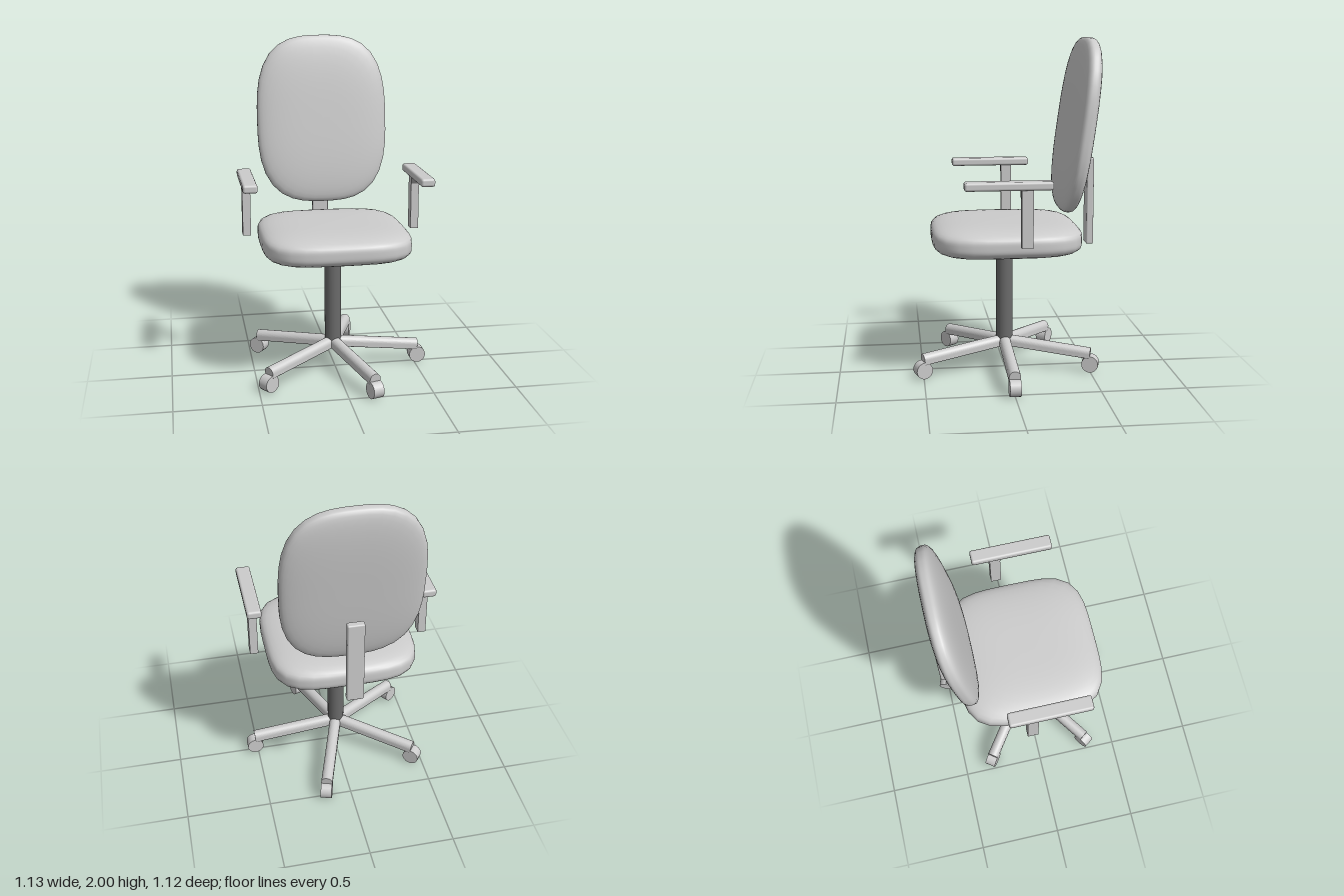
import * as THREE from 'three';
import { mergeVertices } from 'three/addons/utils/BufferGeometryUtils.js';
import { RoundedBoxGeometry } from 'three/addons/geometries/RoundedBoxGeometry.js';

const lightGrey = new THREE.MeshStandardMaterial({ color: 0xcccccc });
lightGrey.name = 'light grey';
const darkGrey = new THREE.MeshStandardMaterial({ color: 0x6a6a6a });
darkGrey.name = 'dark grey';

function add(parent, name, geometry, material, x = 0, y = 0, z = 0) {
  const mesh = new THREE.Mesh(geometry, material);
  mesh.name = name;
  mesh.position.set(x, y, z);
  parent.add(mesh);
  return mesh;
}

// Rounded cushion lying flat: n squares off the outline, m squares off the edge
function cushion(halfX, halfY, halfZ, n, m) {
  let geo = new THREE.SphereGeometry(1, 40, 30);
  const p = geo.attributes.position;
  for (let i = 0; i < p.count; i++) {
    const x = p.getX(i), y = p.getY(i), z = p.getZ(i);
    const rho = (Math.abs(x) ** n + Math.abs(z) ** n) ** (1 / n);
    const s = (rho ** m + Math.abs(y) ** m) ** (-1 / m);
    p.setXYZ(i, x * s * halfX, y * s * halfY, z * s * halfZ);
  }
  geo.deleteAttribute('uv');
  geo.deleteAttribute('normal');
  geo = mergeVertices(geo, 1e-5);
  geo.computeVertexNormals();
  return geo;
}

export function createModel() {
  const model = new THREE.Group();
  model.name = 'officeChair';
  const chair = new THREE.Group();
  chair.name = 'chair';
  chair.position.x = -0.013;
  model.add(chair);

  // Seat and reclined backrest
  add(chair, 'seat', cushion(0.44, 0.094, 0.44, 4, 3.6), lightGrey, 0, 0.837, 0);
  const back = cushion(0.405, 0.067, 0.518, 2.9, 3.3).rotateX(Math.PI / 2);
  add(chair, 'backrest', back, lightGrey, 0, 1.485, -0.426).rotation.x = -0.138;
  add(chair, 'backBar', new RoundedBoxGeometry(0.1, 0.525, 0.043, 2, 0.009), lightGrey, 0, 1.028, -0.513);

  // Armrests, each post with a dark band at the top of its front
  for (const side of [-1, 1]) {
    const arm = new THREE.Group();
    arm.name = side > 0 ? 'leftArmrest' : 'rightArmrest';
    arm.position.x = side * 0.512;
    chair.add(arm);
    add(arm, 'armPad', new RoundedBoxGeometry(0.084, 0.048, 0.49, 2, 0.014), lightGrey, 0, 1.204, 0.035);
    add(arm, 'armPost', new THREE.BoxGeometry(0.048, 0.335, 0.064), lightGrey, 0, 1.022, -0.068);
    add(arm, 'postBand', new THREE.BoxGeometry(0.048, 0.045, 0.003), darkGrey, 0, 1.158, -0.035);
  }

  // Column
  add(chair, 'column', new THREE.CylinderGeometry(0.05, 0.05, 0.62, 24), darkGrey, 0, 0.48, 0);

  // Five sloping arched legs with dark undersides, each with a wheel
  const drop = 0.055, reach = 0.53, halfWidth = 0.034;
  const length = Math.hypot(reach, drop);
  const arch = new THREE.Shape();
  arch.moveTo(-halfWidth, -0.028);
  arch.lineTo(halfWidth, -0.028);
  arch.lineTo(halfWidth, -0.004);
  arch.absarc(0, -0.004, halfWidth, 0, Math.PI, false);
  const legGeo = new THREE.ExtrudeGeometry(arch, { depth: length, bevelEnabled: false, curveSegments: 10 })
    .translate(0, 0, -length / 2).rotateY(Math.PI / 2);
  const soleGeo = new THREE.BoxGeometry(length, 0.004, halfWidth * 2).translate(0, -0.029, 0);
  const wheelGeo = new THREE.CylinderGeometry(0.05, 0.05, 0.066, 20).rotateX(Math.PI / 2);
  for (let i = 0; i < 5; i++) {
    const spoke = new THREE.Group();
    spoke.name = 'baseSpoke';
    spoke.rotation.y = i * Math.PI * 2 / 5;
    chair.add(spoke);
    const slope = -Math.atan2(drop, reach);
    add(spoke, 'leg', legGeo, lightGrey, reach / 2, 0.147, 0).rotation.z = slope;
    add(spoke, 'legUnderside', soleGeo, darkGrey, reach / 2, 0.147, 0).rotation.z = slope;
    add(spoke, 'wheel', wheelGeo, lightGrey, reach, 0.053, 0);
  }
  return model;
}
